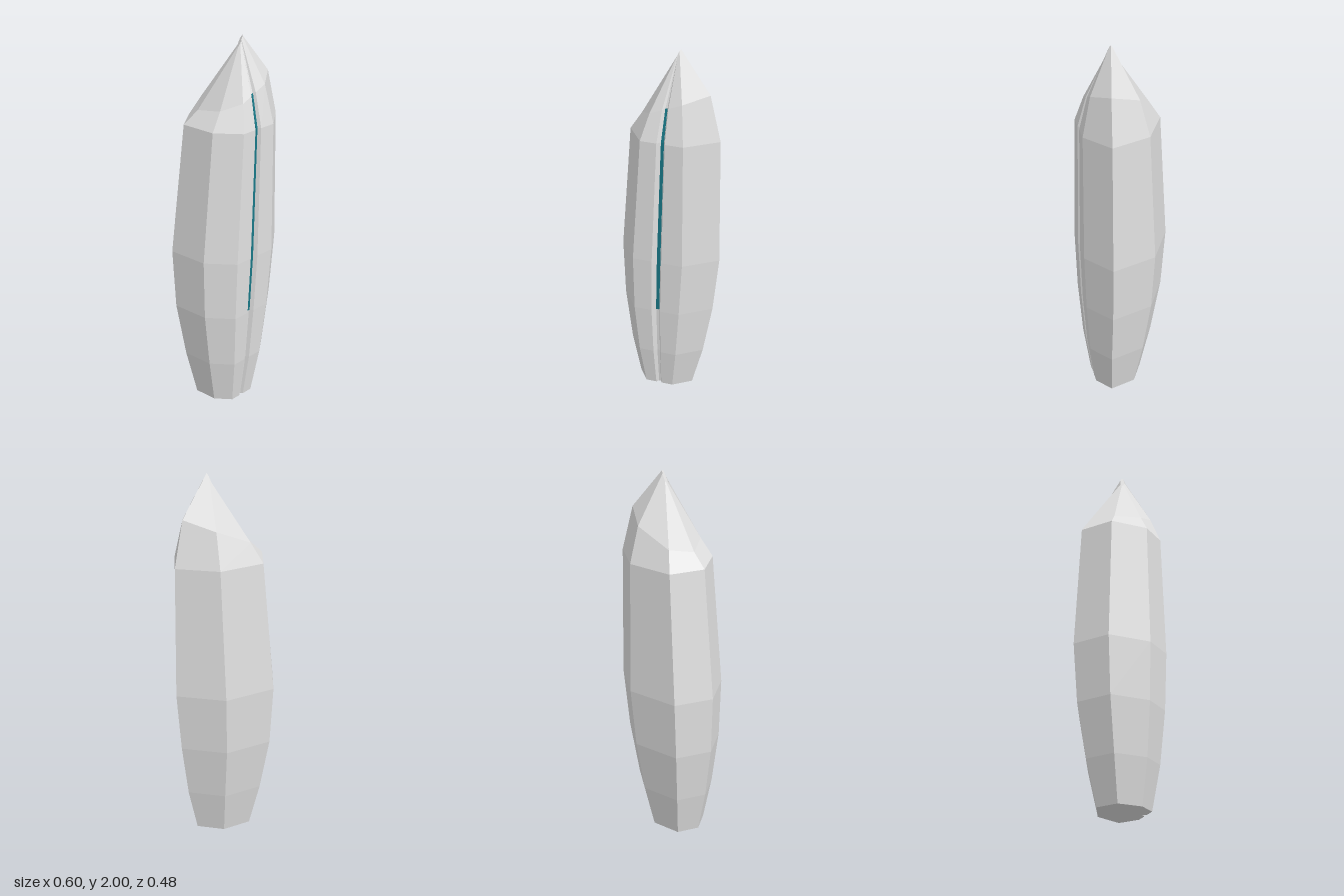
import * as THREE from 'three';

// Corner order, counter-clockwise from above: left, front-left, front, front-right, right, back-right, back-left
const MID = [[-0.3, -0.065], [-0.215, 0.15], [-0.063, 0.24], [0.188, 0.136], [0.297, -0.04], [0.11, -0.23], [-0.18, -0.243]];
const UPPER = [[-0.23, -0.05], [-0.155, 0.14], [-0.02, 0.22], [0.19, 0.135], [0.292, -0.035], [0.125, -0.197], [-0.127, -0.21]];
const SHOULDER = [[-0.157, -0.035], [-0.1, 0.11], [0, 0.168], [0.155, 0.102], [0.235, -0.02], [0.113, -0.142], [-0.085, -0.155]];

const scaled = (sx, ox, sz, oz, y) => MID.map(([x, z]) => new THREE.Vector3(x * sx + ox, y, z * sz + oz));
const level = (pts, yAt) => pts.map(([x, z]) => new THREE.Vector3(x, yAt(x), z));

// Point on the front-right face: t along the face, depth as a fraction of its width
function onFace(ring, t, depth) {
  const f = ring[2], e = ring[3];
  const p = f.clone().lerp(e, t);
  p.x += (e.z - f.z) * depth;
  p.z -= (e.x - f.x) * depth;
  return p;
}

// Joins cross-sections into flat-shaded quads, optionally closed around and capped
function loft(rings, { closed = false, apex = null, base = null } = {}) {
  const pos = [], nor = [];
  const face = (a, b, c, d = a) => {
    // one normal per face, from its diagonals
    const n = d === a
      ? b.clone().sub(a).cross(c.clone().sub(a)).normalize()
      : c.clone().sub(a).cross(d.clone().sub(b)).normalize();
    const corners = d === a ? [a, b, c] : [a, b, c, a, c, d];
    corners.forEach((v) => {
      pos.push(v.x, v.y, v.z);
      nor.push(n.x, n.y, n.z);
    });
  };
  const n = rings[0].length;
  const count = closed ? n : n - 1;
  const top = rings[rings.length - 1];
  for (let i = 0; i < count; i++) {
    const j = (i + 1) % n;
    for (let k = 0; k < rings.length - 1; k++) face(rings[k][i], rings[k][j], rings[k + 1][j], rings[k + 1][i]);
    if (apex) face(top[i], top[j], apex);
    if (base) face(base, rings[0][j], rings[0][i]);
  }
  const g = new THREE.BufferGeometry();
  g.setAttribute('position', new THREE.Float32BufferAttribute(pos, 3));
  g.setAttribute('normal', new THREE.Float32BufferAttribute(nor, 3));
  return g;
}

export function createModel() {
  const stone = new THREE.MeshStandardMaterial({ color: 0xe1e1e1 });
  stone.name = 'pale grey stone';
  const teal = new THREE.MeshStandardMaterial({ color: 0x187887, side: THREE.DoubleSide });
  teal.name = 'teal inlay';

  // Small slanted facet at the point
  const tip = SHOULDER.map(([x, z]) => {
    const a = Math.atan2(z - 0.01, x - 0.03);
    return [0.056 + 0.015 * Math.cos(a), 0.013 + 0.012 * Math.sin(a)];
  });

  const levels = [
    scaled(0.56, -0.017, 0.57, 0.02, 0),
    scaled(0.76, -0.0125, 0.77, 0.015, 0.24),
    scaled(0.92, -0.01, 0.93, 0.005, 0.53),
    scaled(1, 0, 1, 0, 0.85),
    level(UPPER, () => 1.55),
    level(SHOULDER, (x) => 1.69 + 0.43 * x),
    level(tip, (x) => 1.967 + 2.2 * (x - 0.056)),
  ];

  // Faceted stone with a groove cut into its front-right face
  const grooved = levels.map((r) => [
    ...r.slice(0, 3),
    onFace(r, 0.385, 0), onFace(r, 0.465, 0.09), onFace(r, 0.535, 0.09), onFace(r, 0.58, 0),
    ...r.slice(3),
  ]);
  const body = new THREE.Mesh(loft(grooved, {
    closed: true,
    base: new THREE.Vector3(-0.015, 0, 0.01),
    apex: new THREE.Vector3(0.056, 1.967, 0.013),
  }), stone);
  body.name = 'standingStone';

  // Thin strip lying on the groove floor
  const strip = levels.slice(2, 6).map((r) => [
    onFace(r, 0.467, 0.09), onFace(r, 0.467, 0.07), onFace(r, 0.533, 0.07), onFace(r, 0.533, 0.09),
  ]);
  const inlay = new THREE.Mesh(loft(strip), teal);
  inlay.name = 'grooveInlay';

  const group = new THREE.Group();
  group.name = 'grooved standing stone';
  group.add(body, inlay);
  return group;
}
